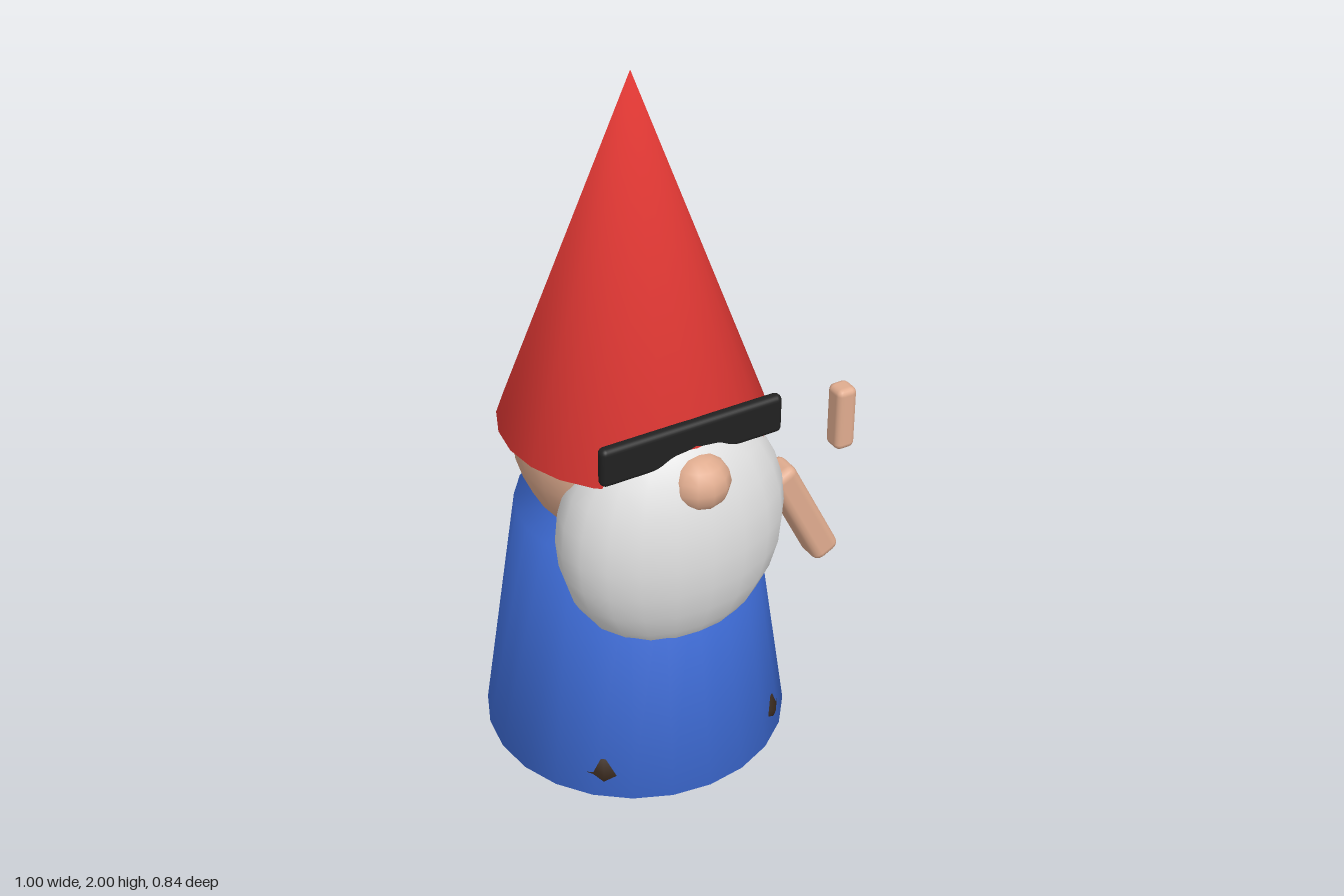
import * as THREE from 'three';
import { mergeVertices } from 'three/addons/utils/BufferGeometryUtils.js';
import { RoundedBoxGeometry } from 'three/addons/geometries/RoundedBoxGeometry.js';

const CX = -0.08; // body axis, offset to balance the outstretched hand

function material(name, color) {
  const m = new THREE.MeshStandardMaterial({ color });
  m.name = name;
  return m;
}

// Weld all seams so the shading runs softly over the rims
function weld(geometry) {
  geometry.deleteAttribute('normal');
  geometry.deleteAttribute('uv');
  const g = mergeVertices(geometry);
  g.computeVertexNormals();
  return g;
}

export function createModel() {
  const model = new THREE.Group();
  model.name = 'gardenGnome';

  const red = material('hatRed', 0xe53935);
  const blue = material('coatBlue', 0x4171e0);
  const skin = material('skin', 0xe0ac8f);
  const white = material('beardWhite', 0xe0e0e0);
  const black = material('glassesBlack', 0x212121);
  const brown = material('shoeBrown', 0x3a2a1e);

  function add(name, geometry, mat, x, y, z) {
    const mesh = new THREE.Mesh(geometry, mat);
    mesh.name = name;
    mesh.position.set(x, y, z);
    model.add(mesh);
    return mesh;
  }

  function ellipsoid(rx, ry, rz, w, h) {
    return new THREE.SphereGeometry(1, w, h).scale(rx, ry, rz);
  }

  // Coat and pointed hat
  add('coat', weld(new THREE.CylinderGeometry(0.32, 0.42, 0.71, 24)), blue, CX, 0.415, 0);
  add('hat', weld(new THREE.ConeGeometry(0.357, 0.97, 24)), red, CX, 1.515, 0);

  // Head, beard and nose
  add('head', ellipsoid(0.322, 0.322, 0.322, 24, 16), skin, CX, 1.0, 0);
  add('beard', ellipsoid(0.32, 0.37, 0.22, 20, 14), white, CX, 0.81, 0.2);
  add('nose', ellipsoid(0.084, 0.078, 0.08, 12, 8), skin, CX, 1.018, 0.338);

  // Dark glasses
  add('glasses', new RoundedBoxGeometry(0.52, 0.11, 0.035, 3, 0.016), black, CX - 0.005, 1.127, 0.308);

  // Arm hanging outward and the separate raised hand
  const arm = add('leftArm', new RoundedBoxGeometry(0.085, 0.36, 0.092, 2, 0.025), skin, 0.343, 0.672, 0.164);
  arm.rotation.z = 0.47;
  add('leftHand', new RoundedBoxGeometry(0.06, 0.19, 0.064, 2, 0.018), skin, 0.469, 0.935, 0.163);

  // Shoes, their outer corners just breaking through the coat
  for (const [name, side] of [['leftShoe', 1], ['rightShoe', -1]]) {
    add(name, ellipsoid(0.15, 0.125, 0.21, 12, 8), brown, CX + side * 0.197, 0.128, 0.135);
  }

  return model;
}
